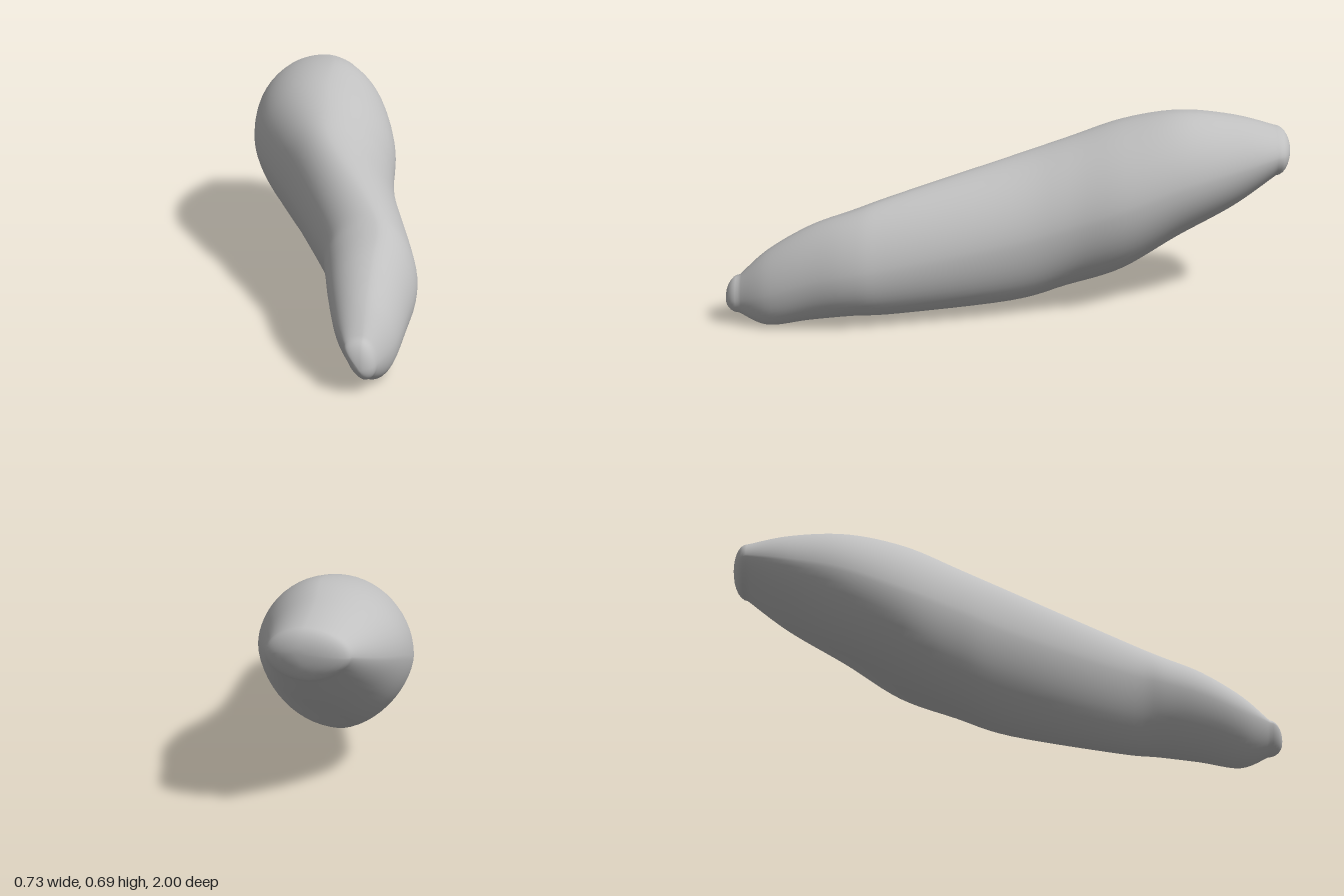
import * as THREE from 'three';

// Cross-sections from back to front: z, left x, right x, bottom y, top y, x of top, x of bottom
const SECTIONS = [
  [-0.95, -0.28, 0.0, 0.45, 0.625, -0.13, -0.14],
  [-0.8, -0.335, 0.06, 0.335, 0.665, -0.12, -0.15],
  [-0.6, -0.365, 0.14, 0.22, 0.69, -0.08, -0.17],
  [-0.4, -0.34, 0.193, 0.12, 0.66, -0.08, -0.08],
  [-0.2, -0.25, 0.207, 0.075, 0.6, -0.05, 0.0],
  [0.0, -0.15, 0.24, 0.04, 0.545, 0.0, 0.08],
  [0.4, 0.015, 0.335, 0.025, 0.45, 0.17, 0.18],
  [0.55, 0.05, 0.36, 0.03, 0.405, 0.22, 0.22],
  [0.7, 0.08, 0.347, 0.02, 0.35, 0.22, 0.24],
  [0.85, 0.12, 0.32, 0.002, 0.262, 0.22, 0.25],
  [0.95, 0.165, 0.27, 0.04, 0.17, 0.22, 0.235],
];
const LAST = SECTIONS.length - 1;
const BACK_TIP = new THREE.Vector3(-0.11, 0.55, -1);
const FRONT_TIP = new THREE.Vector3(0.22, 0.085, 1);
const SIDES = 56;
const STEPS = 6;
const CAP_RINGS = 6;

// Smooth blend between neighbouring sections, u counted in sections
function sectionAt(u) {
  const i = Math.min(Math.floor(u), LAST - 1);
  const t = u - i;
  return SECTIONS[0].map((_, k) => {
    const at = (n) => SECTIONS[THREE.MathUtils.clamp(n, 0, LAST)][k];
    const m0 = (at(i + 1) - at(i - 1)) / 2;
    const m1 = (at(i + 2) - at(i)) / 2;
    const d = at(i + 1) - at(i);
    return at(i) + t * m0 + t * t * (3 * d - 2 * m0 - m1) + t * t * t * (m0 + m1 - 2 * d);
  });
}

// Four joined quarter arcs through the extreme points of a section
function ringPoint([z, left, right, bottom, top, xTop, xBottom], angle) {
  const c = Math.cos(angle), s = Math.sin(angle);
  const upper = s >= 0, onRight = c >= 0;
  // the upper right and lower left quarters are flatter
  const power = upper !== onRight ? 2 : upper ? 1.8 : 1.65;
  const px = Math.abs(c) ** (2 / power);
  const py = Math.abs(s) ** (2 / power);
  // the left flank bulges a little higher than the right along the shaft
  const shaft = THREE.MathUtils.smoothstep(z, -0.6, 0);
  const cx = upper ? xTop : xBottom;
  const cy = (bottom + top) / 2 + shaft * (onRight ? -0.015 : 0.04);
  return new THREE.Vector3(
    cx + ((onRight ? right : left) - cx) * px,
    cy + ((upper ? top : bottom) - cy) * py,
    z
  );
}

function ring(section) {
  return Array.from({ length: SIDES }, (_, i) => ringPoint(section, (i / SIDES) * Math.PI * 2));
}

// Rings shrinking along a quarter ellipse from an end section towards its tip
function capRings(section, tip) {
  return Array.from({ length: CAP_RINGS }, (_, j) => {
    const a = ((j + 1) / (CAP_RINGS + 1)) * Math.PI / 2;
    return ring(section).map((p) => new THREE.Vector3(
      THREE.MathUtils.lerp(tip.x, p.x, Math.cos(a)),
      THREE.MathUtils.lerp(tip.y, p.y, Math.cos(a)),
      THREE.MathUtils.lerp(p.z, tip.z, Math.sin(a))
    ));
  });
}

function loftBody() {
  const rings = capRings(SECTIONS[0], BACK_TIP).reverse();
  for (let j = 0; j <= LAST * STEPS; j++) rings.push(ring(sectionAt(j / STEPS)));
  rings.push(...capRings(SECTIONS[LAST], FRONT_TIP));

  const points = [BACK_TIP, ...rings.flat(), FRONT_TIP];
  const index = [];
  const id = (j, i) => 1 + j * SIDES + (i % SIDES);
  const end = rings.length - 1;
  for (let i = 0; i < SIDES; i++) {
    index.push(0, id(0, i + 1), id(0, i));
    for (let j = 0; j < end; j++) {
      index.push(id(j, i), id(j, i + 1), id(j + 1, i));
      index.push(id(j, i + 1), id(j + 1, i + 1), id(j + 1, i));
    }
    index.push(id(end, i), id(end, i + 1), points.length - 1);
  }

  const geometry = new THREE.BufferGeometry().setFromPoints(points);
  geometry.setIndex(index);
  geometry.computeVertexNormals();
  return geometry;
}

export function createModel() {
  const group = new THREE.Group();
  group.name = 'taperedOrganicForm';
  const grey = new THREE.MeshStandardMaterial({ color: 0xc0c0c0 });
  grey.name = 'light grey';

  // single continuous body with rounded ends
  const body = new THREE.Mesh(loftBody(), grey);
  body.name = 'body';
  group.add(body);
  return group;
}
